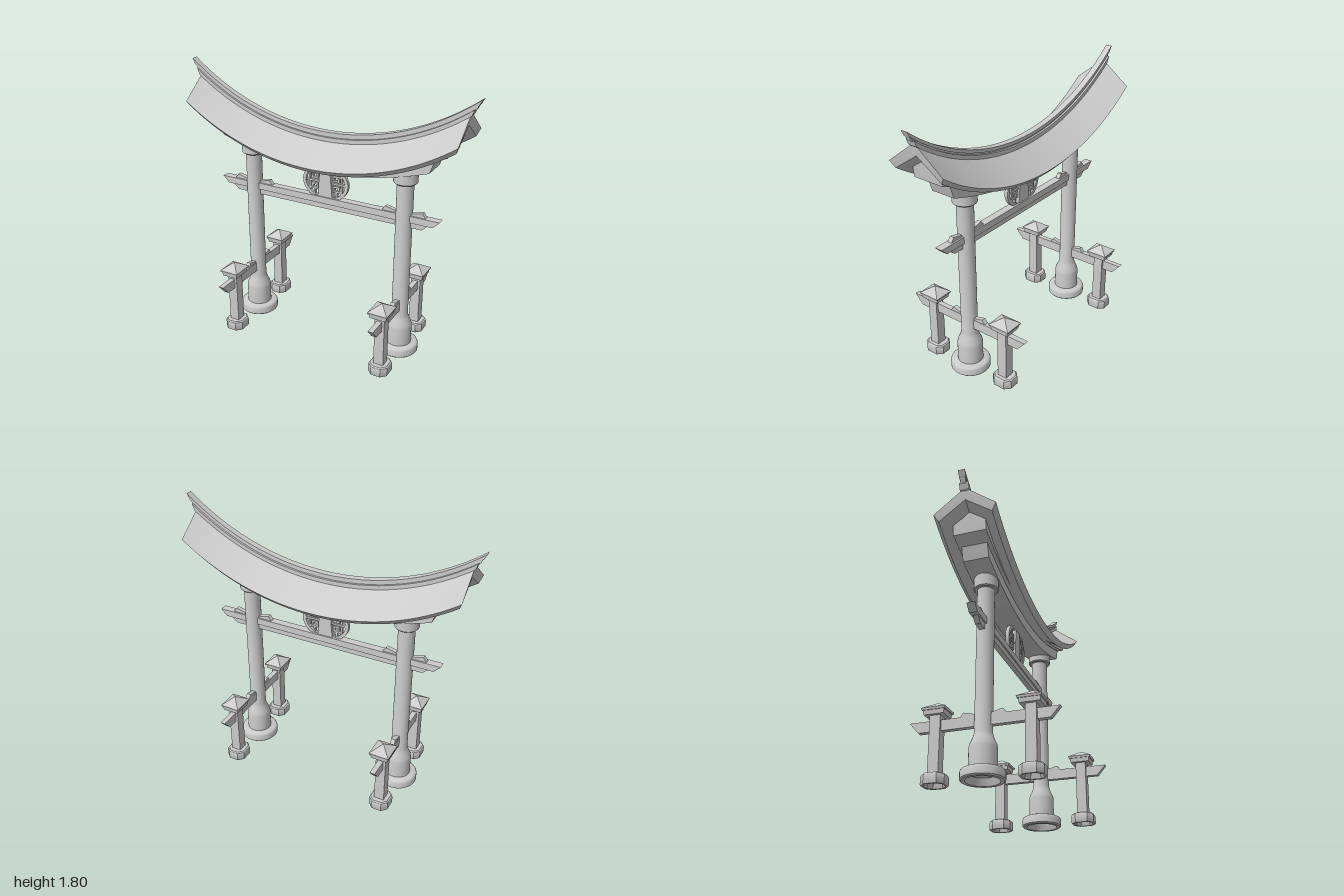
import * as THREE from 'three';
import { toCreasedNormals } from 'three/addons/utils/BufferGeometryUtils.js';

const mat = new THREE.MeshStandardMaterial({ color: 0xcccccc, side: THREE.DoubleSide });
const PILLAR_X = 0.555;

function add(parent, name, geometry, x = 0, y = 0, z = 0) {
  const mesh = new THREE.Mesh(geometry, mat);
  mesh.name = name;
  mesh.position.set(x, y, z);
  parent.add(mesh);
  return mesh;
}

const box = (w, h, d) => new THREE.BoxGeometry(w, h, d);

// Outline in x/y, extruded symmetrically about z = 0
function prism(points, depth) {
  const shape = new THREE.Shape(points.map(([x, y]) => new THREE.Vector2(x, y)));
  return new THREE.ExtrudeGeometry(shape, { depth, bevelEnabled: false }).translate(0, 0, -depth / 2);
}

// Trapezoid bar: half length at the top and at the bottom
const bar = (top, bottom, y0, y1, depth) =>
  prism([[-bottom, y0], [bottom, y0], [top, y1], [-top, y1]], depth);

const lathe = (points, sides) =>
  new THREE.LatheGeometry(points.map(([r, y]) => new THREE.Vector2(r, y)), sides);

// Upward sweeps: circular for the roof, flatter for the beams below
const steep = x => 1.6 - Math.sqrt(2.56 - x * x);
const gentle = x => 0.24 * x * x;

// Sweeps a counter-clockwise section of [z, y, half length, curve] along x
function sweep(section, steps = 48) {
  const pos = [], index = [], n = section.length;
  const put = ([z, y, half, curve], t) => {
    const x = half * t;
    pos.push(x, y + curve(x), z);
  };
  section.forEach((p, i) => {
    const q = section[(i + 1) % n], start = pos.length / 3;
    for (let s = 0; s <= steps; s++) {
      const t = (2 * s) / steps - 1;
      put(p, t);
      put(q, t);
      if (s < steps) {
        const a = start + 2 * s;
        index.push(a, a + 2, a + 3, a, a + 3, a + 1);
      }
    }
  });
  const faces = THREE.ShapeUtils.triangulateShape(section.map(([z, y]) => new THREE.Vector2(z, y)), []);
  for (const side of [-1, 1]) {
    const start = pos.length / 3;
    section.forEach(p => put(p, side));
    for (const [a, b, c] of faces) {
      index.push(start + a, start + (side < 0 ? b : c), start + (side < 0 ? c : b));
    }
  }
  const g = new THREE.BufferGeometry();
  g.setAttribute('position', new THREE.Float32BufferAttribute(pos, 3));
  g.setIndex(index);
  g.computeVertexNormals();
  return g;
}

// Rectangular section for swept beams and ridge layers
const rect = (hz, y0, y1, bottomHalf, topHalf, lower, upper = lower) => [
  [-hz, y0, bottomHalf, lower], [hz, y0, bottomHalf, lower],
  [hz, y1, topHalf, upper], [-hz, y1, topHalf, upper],
];

function buildRoof() {
  const roof = new THREE.Group();
  roof.name = 'roof';
  add(roof, 'roofSlopes', sweep([
    [0, 1.34, 0.925, steep], [0.17, 1.225, 0.92, steep], [0.2, 1.257, 0.937, steep],
    [0, 1.41, 0.937, steep], [-0.2, 1.257, 0.937, steep], [-0.17, 1.225, 0.92, steep],
  ]));
  add(roof, 'ridgeBase', sweep(rect(0.03, 1.39, 1.418, 0.945, 0.96, steep)));
  add(roof, 'ridgeNeck', sweep(rect(0.016, 1.41, 1.43, 0.965, 0.98, steep)));
  add(roof, 'ridgeCap', sweep(rect(0.022, 1.428, 1.45, 0.982, 1, steep)));
  // Gabled beam tucked under the slopes
  add(roof, 'upperBeam', sweep([
    [-0.105, 1.28, 0.845, gentle], [0.105, 1.28, 0.845, gentle],
    [0.105, 1.3, 0.86, steep], [0, 1.37, 0.86, steep], [-0.105, 1.3, 0.86, steep],
  ]));
  add(roof, 'lowerBeam', sweep(rect(0.083, 1.2, 1.275, 0.735, 0.765, gentle)));
  return roof;
}

// Small wedge rising away from a pillar, starting at r = 0.04
const wedge = (y, depth, reach) =>
  prism([[0.04, y - 0.01], [reach, y - 0.01], [reach, y], [reach - 0.022, y + 0.03], [0.04, y + 0.01]], depth);

function buildPillar() {
  const pillar = new THREE.Group();
  pillar.name = 'pillar';
  // Foot with a recessed underside
  add(pillar, 'pillarFoot', toCreasedNormals(lathe([
    [0, 0.045], [0.085, 0.045], [0.1, 0], [0.122, 0], [0.13, 0.008],
    [0.13, 0.05], [0.125, 0.061], [0.115, 0.066], [0, 0.066],
  ], 32), 0.7));
  add(pillar, 'pillarShaft', toCreasedNormals(lathe([
    [0.083, 0.06], [0.083, 0.19], [0.08, 0.21], [0.06, 0.255], [0.054, 0.28], [0.054, 1.26],
  ], 32), 0.7));
  add(pillar, 'pillarCapital', toCreasedNormals(lathe([
    [0, 1.21], [0.07, 1.21], [0.077, 1.217], [0.077, 1.32], [0, 1.32],
  ], 32), 0.7));
  for (const side of [0, Math.PI]) {
    add(pillar, 'tieWedge', wedge(1, 0.03, 0.148)).rotation.y = side;
    add(pillar, 'braceWedge', wedge(0.386, 0.03, 0.142)).rotation.y = side + Math.PI / 2;
  }
  add(pillar, 'braceBeam', bar(0.457, 0.4, 0.322, 0.388, 0.035)).rotation.y = Math.PI / 2;
  for (const z of [-0.29, 0.29]) pillar.add(buildSidePost(z));
  return pillar;
}

// Chamfered rectangular ring of footprint w x d, drawn as a loop for the foot
function chamferedFoot(w, d) {
  const a = w / 2, b = d / 2, c = 0.034;
  const ring = [[-a + c, -b], [a - c, -b], [a, -b + c], [a, b - c], [a - c, b], [-a + c, b], [-a, b - c], [-a, -b + c]];
  // [scale, height] from recess, round the rim, to the top
  const levels = [[0, 0.045], [0.6, 0.045], [0.78, 0], [0.97, 0], [1, 0.006], [1, 0.045], [0.96, 0.059], [0.86, 0.066], [0, 0.066]];
  const pos = [], index = [];
  levels.forEach(([s, y], j) => ring.forEach(([x, z], i) => {
    pos.push(x * s, y, z * s);
    if (j === 0) return;
    const k = (i + 1) % 8, lo = (j - 1) * 8, hi = j * 8;
    index.push(lo + i, hi + i, hi + k, lo + i, hi + k, lo + k);
  }));
  const g = new THREE.BufferGeometry();
  g.setAttribute('position', new THREE.Float32BufferAttribute(pos, 3));
  g.setIndex(index);
  return toCreasedNormals(g, 0.5);
}

// Four-sided frustum of rectangular plan
function frustum(bottom, top, height, wide, deep) {
  const g = new THREE.CylinderGeometry(top * Math.SQRT1_2, bottom * Math.SQRT1_2, height, 4, 1).rotateY(Math.PI / 4);
  return toCreasedNormals(g.scale(wide, 1, deep), 0.1);
}

function buildSidePost(z) {
  const post = new THREE.Group();
  post.name = 'sidePost';
  post.position.z = z;
  add(post, 'postFoot', chamferedFoot(0.134, 0.148));
  add(post, 'postShaft', box(0.067, 0.37, 0.067), 0, 0.245, 0);
  add(post, 'capBlock', frustum(0.82, 0.88, 0.03, 0.134, 0.152), 0, 0.431, 0);
  add(post, 'capEave', frustum(0.94, 1, 0.014, 0.134, 0.152), 0, 0.45, 0);
  add(post, 'capPyramid', frustum(1, 0, 0.046, 0.134, 0.152), 0, 0.48, 0);
  return post;
}

function buildEmblem() {
  const emblem = new THREE.Group();
  emblem.name = 'emblem';
  emblem.position.y = 1.1;
  add(emblem, 'plaque', prism([[-0.054, -0.11], [0.054, -0.11], [0.034, 0.12], [-0.034, 0.12]], 0.036));
  const arc = (rx, ry, dir) => Array.from({ length: 21 }, (_, i) => {
    const t = dir * (i / 10 - 1) * 1.15;
    return [rx * Math.cos(t), ry * Math.sin(t)];
  });
  const ring = prism([...arc(0.165, 0.13, 1), ...arc(0.143, 0.108, -1)], 0.024);
  // Fretwork strokes: x, y, width, height, repeated above and below the middle
  const strokes = [
    [0.088, 0.052, 0.065, 0.012], [0.062, 0.036, 0.012, 0.044], [0.079, 0.02, 0.046, 0.012],
    [0.096, 0.028, 0.012, 0.028], [0.115, 0.045, 0.012, 0.07], [0.08, 0.075, 0.012, 0.05],
  ];
  for (const turn of [0, Math.PI]) {
    const half = new THREE.Group();
    half.name = 'fretHalf';
    half.rotation.y = turn;
    add(half, 'ringArc', ring);
    add(half, 'middleStroke', box(0.11, 0.013, 0.02), 0.1, 0, 0);
    for (const [x, y, w, h] of strokes) {
      for (const s of [-1, 1]) add(half, 'fretStroke', box(w, h, 0.02), x, s * y, 0);
    }
    emblem.add(half);
  }
  return emblem;
}

export function createModel() {
  const gate = new THREE.Group();
  gate.name = 'gate';
  gate.add(buildRoof(), buildEmblem());
  add(gate, 'tieBeamTop', bar(0.8, 0.755, 0.955, 1, 0.052));
  add(gate, 'tieBeamBottom', bar(0.722, 0.68, 0.918, 0.956, 0.034));
  for (const side of [-1, 1]) {
    const pillar = buildPillar();
    pillar.position.x = side * PILLAR_X;
    gate.add(pillar);
  }
  return gate;
}
